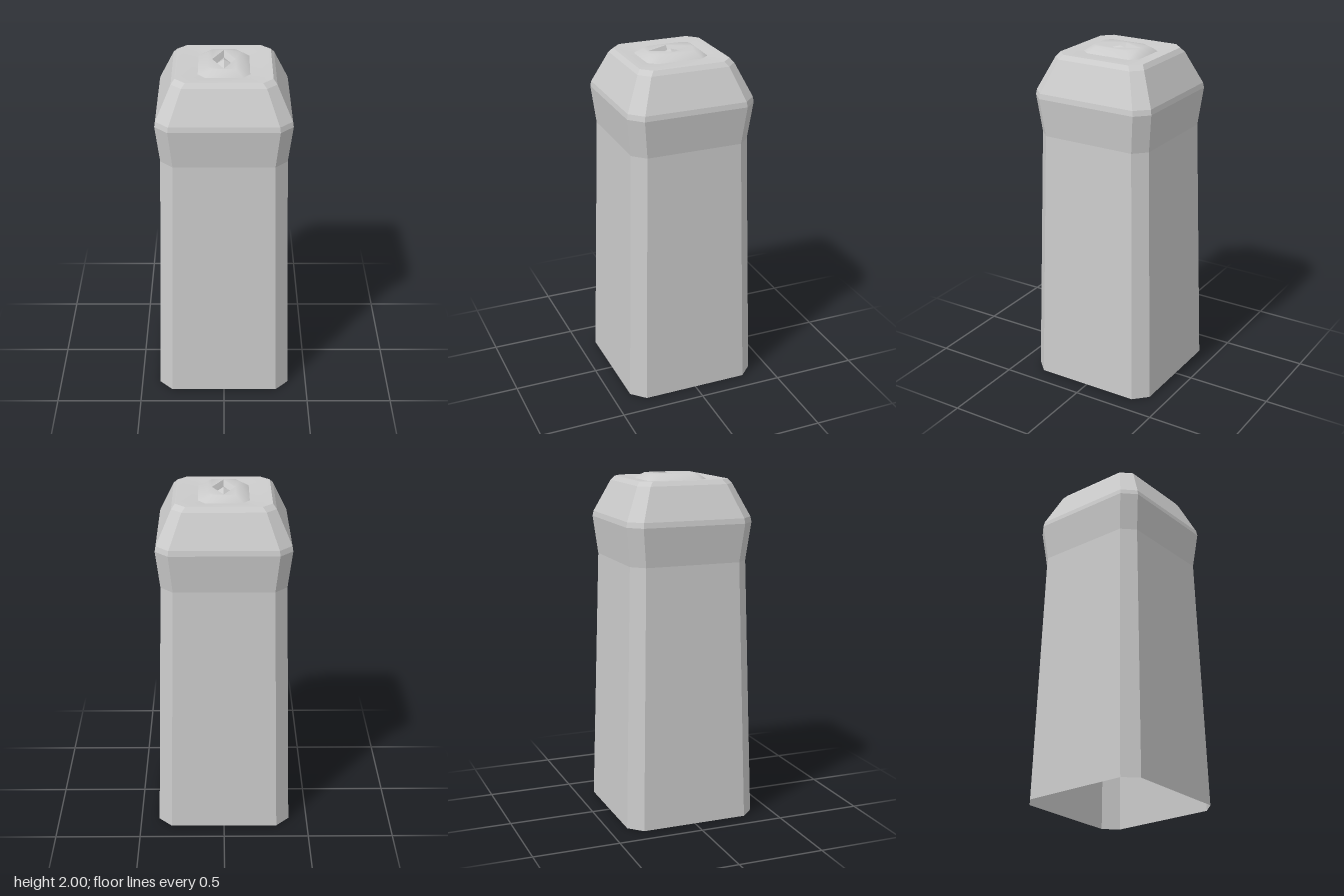
import * as THREE from 'three';
import { toCreasedNormals } from 'three/addons/utils/BufferGeometryUtils.js';

// Eight-cornered ring: half sizes hx, hz; corner cuts start at cx, cz.
// With cx = cz = 0 it becomes a diamond, with all zero a single point.
function ring([hx, hz, cx, cz, y]) {
  return [
    [hx, cz], [hx, -cz], [cx, -hz], [-cx, -hz],
    [-hx, -cz], [-hx, cz], [-cx, hz], [cx, hz],
  ].map(([x, z]) => new THREE.Vector3(x, y, z));
}

// Skin a stack of rings, dropping collapsed triangles
function loft(sections, creaseAngle) {
  const rings = sections.map(ring);
  const positions = [];
  const triangle = (a, b, c) => {
    if (a.distanceTo(b) < 1e-6 || b.distanceTo(c) < 1e-6 || c.distanceTo(a) < 1e-6) return;
    for (const p of [a, b, c]) positions.push(p.x, p.y, p.z);
  };
  for (let i = 0; i < rings.length - 1; i++) {
    for (let j = 0; j < 8; j++) {
      const k = (j + 1) % 8;
      const a = rings[i][j], b = rings[i][k], c = rings[i + 1][k], d = rings[i + 1][j];
      triangle(a, b, c);
      triangle(a, c, d);
    }
  }
  const geometry = new THREE.BufferGeometry();
  geometry.setAttribute('position', new THREE.Float32BufferAttribute(positions, 3));
  return toCreasedNormals(geometry, THREE.MathUtils.degToRad(creaseAngle));
}

export function createModel() {
  const group = new THREE.Group();
  const material = new THREE.MeshStandardMaterial({ color: 0xcccccc, side: THREE.DoubleSide });
  const add = (name, sections, creaseAngle) => {
    const mesh = new THREE.Mesh(loft(sections, creaseAngle), material);
    mesh.name = name;
    group.add(mesh);
  };

  // Tapered square column with cut corners, open underneath
  add('column', [
    [0.392, 0.392, 0.315, 0.315, 0],
    [0.35, 0.35, 0.28, 0.28, 1.515],
  ], 1);

  // Flared head with a sloping shoulder
  add('head', [
    [0.35, 0.35, 0.28, 0.28, 1.515],
    [0.375, 0.375, 0.302, 0.302, 1.735],
    [0.37, 0.37, 0.298, 0.298, 1.765],
    [0.285, 0.285, 0.228, 0.228, 1.95],
    [0.265, 0.265, 0.208, 0.208, 1.975],
  ], 1);

  // Slightly dished top
  add('top', [
    [0.265, 0.265, 0.208, 0.208, 1.975],
    [0.235, 0.235, 0.165, 0.165, 1.974],
    [0.142, 0.179, 0.102, 0.13, 1.966],
  ], 40);

  // Raised boss with a diamond recess
  add('boss', [
    [0.142, 0.179, 0.102, 0.13, 1.966],
    [0.09, 0.14, 0.065, 0.1, 2],
    [0.065, 0.13, 0, 0, 2],
  ], 45);

  // Recess walls and the small pyramid rising inside
  add('diamondRecess', [
    [0.065, 0.13, 0, 0, 2],
    [0.043, 0.088, 0, 0, 1.972],
    [0, 0, 0, 0, 1.998],
  ], 1);

  return group;
}
